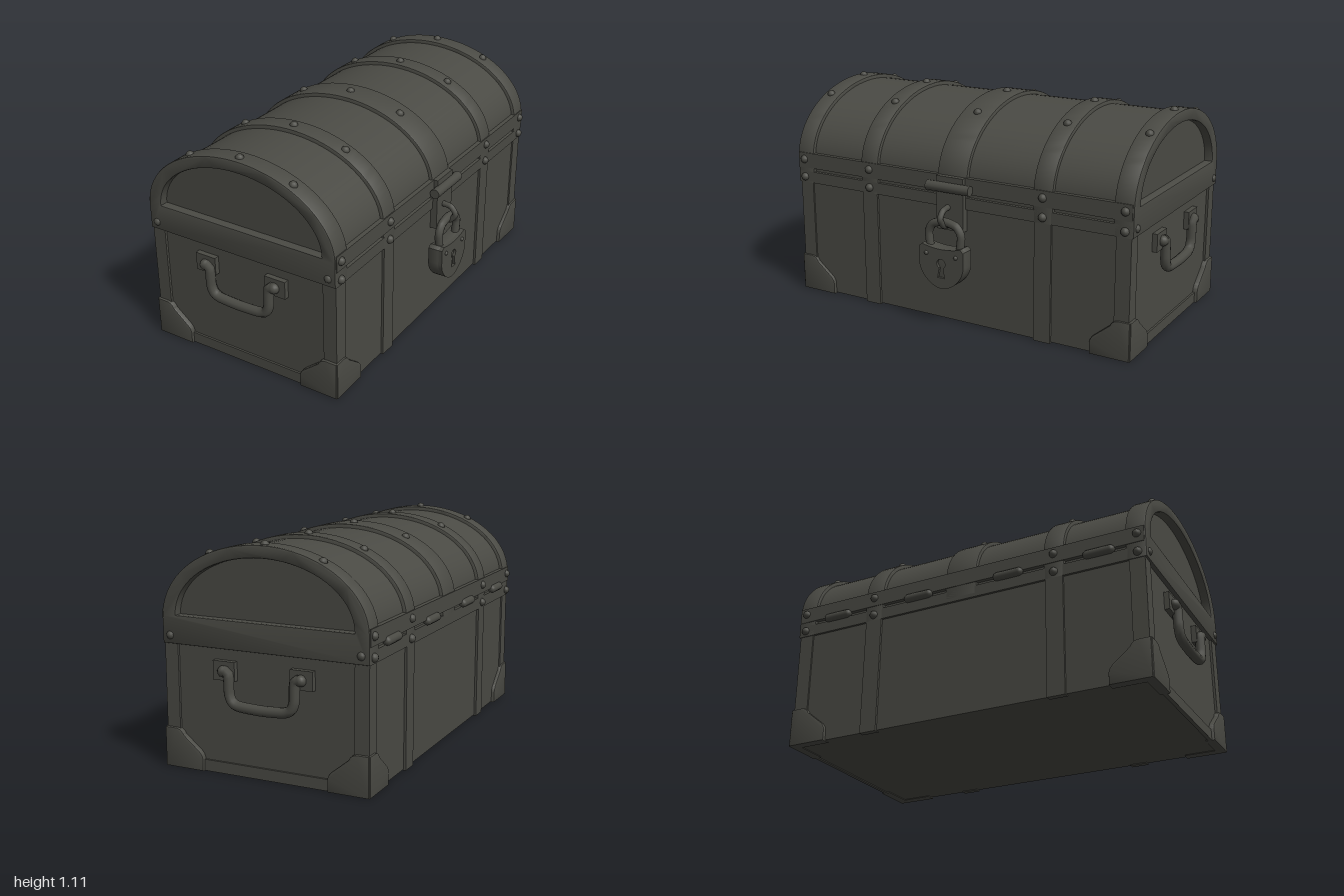
import * as THREE from 'three';
import { toCreasedNormals } from 'three/addons/utils/BufferGeometryUtils.js';

export function createModel() {
  const root = new THREE.Group();
  root.name = 'treasureChest';
  const chest = new THREE.Group();
  chest.name = 'chest';
  chest.position.x = -0.045;
  root.add(chest);
  const metal = new THREE.MeshStandardMaterial({ name: 'dark iron', color: 0x4a4a44 });

  const add = (parent, name, geo, x = 0, y = 0, z = 0) => {
    const m = new THREE.Mesh(geo, metal);
    m.name = name;
    m.position.set(x, y, z);
    parent.add(m);
    return m;
  };
  // box given by its lower and upper limits
  const box = (parent, name, x0, x1, y0, y1, z0, z1) =>
    add(parent, name, new THREE.BoxGeometry(x1 - x0, y1 - y0, z1 - z0),
      (x0 + x1) / 2, (y0 + y1) / 2, (z0 + z1) / 2);
  const extrude = (shape, depth, bevel = 0) => toCreasedNormals(new THREE.ExtrudeGeometry(shape, {
    depth, curveSegments: 20, bevelEnabled: bevel > 0, bevelSize: bevel, bevelThickness: bevel,
    bevelOffset: -bevel, bevelSegments: 2 }), 0.6);
  const tube = (pts, r, closed = false) => new THREE.TubeGeometry(
    new THREE.CatmullRomCurve3(pts.map(p => new THREE.Vector3(...p)), closed, 'catmullrom', 0.35), 40, r, 10, closed);

  // upright sides closed by an elliptical arch
  const arch = (w, top, base, spring = 0.73, Type = THREE.Shape) => {
    const s = new Type();
    s.moveTo(w, base);
    s.lineTo(w, spring);
    s.absellipse(0, spring, w, top - spring, 0, Math.PI, false, 0);
    s.lineTo(-w, base);
    s.closePath();
    return s;
  };

  // Body and lid
  box(chest, 'body', -0.518, 0.518, 0.005, 0.61, -0.94, 0.94);
  add(chest, 'lid', extrude(arch(0.512, 1.07, 0.6), 1.84), 0, 0, -0.92);

  // Lid end rims, framing a recessed panel
  const rim = arch(0.53, 1.09, 0.6);
  rim.holes.push(arch(0.457, 1.03, 0.737, 0.737, THREE.Path));
  const rimGeo = extrude(rim, 0.085, 0.008);
  for (const z of [-0.955, 0.87]) add(chest, 'lidEndRim', rimGeo, 0, 0, z);

  // Lid straps
  const strap = (z, w, base) =>
    add(chest, 'lidStrap', extrude(arch(0.53, 1.09, base), w, 0.008), 0, 0, z - w / 2);
  strap(0.5, 0.09, 0.6);
  strap(-0.5, 0.09, 0.6);
  strap(0, 0.155, 0.62);

  // Rivets
  const ball = new THREE.SphereGeometry(0.021, 12, 8);
  const rivet = (x, y, z) => add(chest, 'rivet', ball, x, y, z);
  for (const z of [-0.92, -0.5, 0, 0.5, 0.92])
    for (const x of [-0.288, 0, 0.288])
      rivet(x, 0.727 + 0.36 * Math.sqrt(1 - (x / 0.53) ** 2), z);

  for (const s of [-1, 1]) {
    const side = (name, x0, x1, ...r) => s > 0 ? box(chest, name, x0, x1, ...r) : box(chest, name, -x1, -x0, ...r);
    // Long bands and side straps
    side('bodyRimBand', 0.49, 0.53, 0.6, 0.66, -0.955, 0.955);
    side('lidRimBand', 0.49, 0.533, 0.68, 0.76, -0.955, 0.955);
    for (const z of [-0.5, 0.5]) side('sideStrap', 0.5, 0.53, 0, 0.61, z - 0.045, z + 0.045);
    for (const z of [-0.92, -0.5, 0.5, 0.92])
      for (const y of [0.63, 0.725]) rivet(s * 0.532, y, z);

    for (const e of [-1, 1]) {
      rivet(s * 0.49, 0.64, e * 0.955);
      // Corner posts
      const post = [e * 0.875, e * 0.952].sort((a, b) => a - b);
      side('cornerPost', 0.455, 0.526, 0.02, 0.602, ...post);
      // Corner caps: one plate on each face
      const cap = new THREE.Shape();
      cap.moveTo(0, 0);
      cap.lineTo(0.205, 0);
      cap.lineTo(0.205, 0.06);
      cap.quadraticCurveTo(0.2, 0.085, 0.18, 0.1);
      cap.lineTo(0.1, 0.165);
      cap.quadraticCurveTo(0.09, 0.19, 0.06, 0.194);
      cap.lineTo(0, 0.194);
      cap.closePath();
      const geo = extrude(cap, 0.04, 0.006);
      const endCap = add(chest, 'cornerCapEnd', geo, s * 0.53, 0, e > 0 ? 0.92 : -0.96);
      const sideCap = add(chest, 'cornerCapSide', geo, s > 0 ? 0.49 : -0.53, 0, e * 0.96);
      // turn the plates inwards from the corner
      if (s > 0) {
        endCap.rotation.y = Math.PI;
        endCap.position.z += 0.04;
      }
      sideCap.rotation.y = e > 0 ? Math.PI / 2 : -Math.PI / 2;
      if (e < 0) sideCap.position.x += 0.04;
    }
  }

  // Bottom edging at the ends
  for (const z of [-0.95, 0.93]) box(chest, 'bottomEdge', -0.51, 0.51, 0, 0.055, z, z + 0.02);

  // End handles
  for (const e of [0, Math.PI]) {
    const h = new THREE.Group();
    h.name = 'handle';
    h.rotation.y = e;
    chest.add(h);
    for (const s of [-1, 1]) {
      box(h, 'handlePlate', s * 0.2 - 0.057, s * 0.2 + 0.057, 0.455, 0.546, 0.935, 0.966);
      add(h, 'handleKnob', new THREE.SphereGeometry(0.027, 14, 10), s * 0.2, 0.5, 0.971);
    }
    const half = [[0.2, 0.505], [0.172, 0.49], [0.168, 0.4], [0.152, 0.36], [0.115, 0.344]];
    const pts = [...half.map(([x, y]) => [-x, y, 0.974]), [0, 0.338, 0.974],
      ...half.reverse().map(([x, y]) => [x, y, 0.974])];
    add(h, 'handleGrip', tube(pts, 0.025));
  }

  // Back hinges
  for (const z of [-0.72, -0.24, 0.26, 0.73]) {
    const hinge = add(chest, 'hinge', new THREE.CapsuleGeometry(0.022, 0.115, 6, 12), -0.532, 0.675, z);
    hinge.rotation.x = Math.PI / 2;
  }

  // Hasp, its bar and the staple
  const lock = new THREE.Group();
  lock.name = 'lockAssembly';
  root.add(lock);
  box(lock, 'haspPlate', 0.475, 0.51, 0.49, 0.76, -0.077, 0.077);
  const bar = add(lock, 'haspBar', new THREE.CylinderGeometry(0.025, 0.025, 0.245, 14), 0.517, 0.708, 0);
  bar.rotation.x = Math.PI / 2;
  add(lock, 'staple', tube([[0.5, 0.607, 0.01], [0.553, 0.6, 0.01], [0.58, 0.563, 0.01],
    [0.552, 0.525, 0.01], [0.5, 0.515, 0.01]], 0.015));

  // Padlock
  const body = new THREE.Shape();
  body.moveTo(-0.11, 0.425);
  body.quadraticCurveTo(0, 0.395, 0.11, 0.425);
  body.lineTo(0.128, 0.41);
  body.lineTo(0.128, 0.33);
  body.bezierCurveTo(0.125, 0.27, 0.06, 0.206, 0, 0.206);
  body.bezierCurveTo(-0.06, 0.206, -0.125, 0.27, -0.128, 0.33);
  body.lineTo(-0.128, 0.41);
  body.closePath();
  // keyhole cut right through the front half
  const keyhole = new THREE.Path();
  keyhole.absarc(0, 0.335, 0.024, -1.1, Math.PI + 1.1, false);
  keyhole.lineTo(-0.02, 0.262);
  keyhole.lineTo(0.02, 0.262);
  keyhole.closePath();
  const back = add(lock, 'padlockBack', extrude(body, 0.055, 0.006), 0.506, 0, 0.01);
  back.rotation.y = Math.PI / 2;
  body.holes.push(keyhole);
  const face = add(lock, 'padlockFace', extrude(body, 0.02), 0.56, 0, 0.01);
  face.rotation.y = Math.PI / 2;
  add(lock, 'shackle', tube([[0.54, 0.4, -0.075], [0.54, 0.48, -0.083], [0.54, 0.525, -0.055],
    [0.54, 0.54, 0.01], [0.54, 0.525, 0.075], [0.54, 0.48, 0.103], [0.54, 0.4, 0.095]], 0.021));
  for (const z of [-0.075, 0.095])
    add(lock, 'padlockStud', new THREE.SphereGeometry(0.012, 8, 6), 0.578, 0.38, z);

  return root;
}
